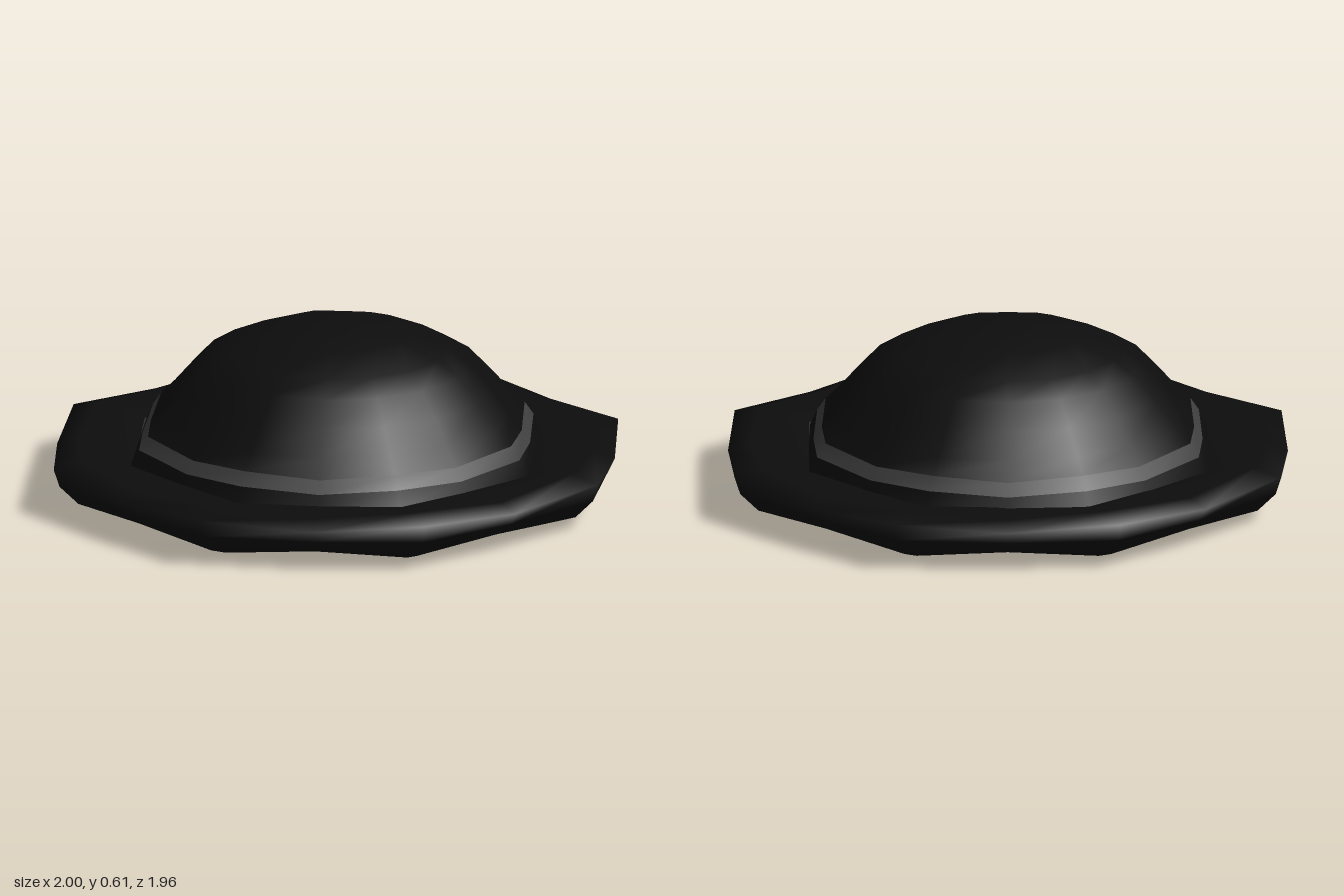
import * as THREE from 'three';

const SIDES = 16;
const felt = new THREE.MeshStandardMaterial({ color: 0x0d0d0d, side: THREE.DoubleSide });
felt.name = 'black felt';
const ribbon = new THREE.MeshStandardMaterial({ color: 0x404040, side: THREE.DoubleSide });
ribbon.name = 'grey ribbon';

// Skin rings of [corner radius, corner y, middle radius, middle y]:
// odd spokes are the eight corners, even spokes the middles between them.
function ringSkin(name, rings, material, zScale = 1, zShift = 0) {
  const pos = [], index = [];
  rings.forEach(([rc, yc, rm, ym], i) => {
    for (let j = 0; j < SIDES; j++) {
      const a = (j / SIDES) * Math.PI * 2;
      const r = j % 2 ? rc : rm;
      pos.push(r * Math.sin(a), j % 2 ? yc : ym, r * Math.cos(a) * zScale + zShift);
      if (i === rings.length - 1) continue;
      const k = (j + 1) % SIDES, lo = i * SIDES, hi = lo + SIDES;
      index.push(lo + j, lo + k, hi + k, lo + j, hi + k, hi + j);
    }
  });
  const geo = new THREE.BufferGeometry();
  geo.setAttribute('position', new THREE.Float32BufferAttribute(pos, 3));
  geo.setIndex(index);
  geo.computeVertexNormals();
  const mesh = new THREE.Mesh(geo, material);
  mesh.name = name;
  return mesh;
}

export function createModel() {
  const hat = new THREE.Group();
  hat.name = 'hat';

  // Thick rolled brim, from the inner opening under and around to the crown
  hat.add(ringSkin('brim', [
    [0.74, 0.17, 0.69, 0.165],
    [0.77, 0.06, 0.75, 0.08],
    [0.85, 0.0, 0.87, 0.04],
    [0.965, 0.04, 0.92, 0.06],
    [1.035, 0.11, 0.975, 0.105],
    [1.057, 0.175, 1.0, 0.15],
    [0.955, 0.2, 0.92, 0.175],
    [0.77, 0.165, 0.71, 0.16],
  ], felt, 0.98));

  // Foot of the crown, ribbon band and dome share their border rings
  const bandLow = [0.738, 0.218, 0.695, 0.198];
  const bandHigh = [0.705, 0.266, 0.665, 0.243];
  hat.add(ringSkin('crownFoot', [[0.765, 0.16, 0.71, 0.155], bandLow], felt, 1, -0.012));
  hat.add(ringSkin('band', [bandLow, bandHigh], ribbon, 1, -0.012));
  hat.add(ringSkin('crown', [
    bandHigh,
    [0.65, 0.32, 0.615, 0.31],
    [0.575, 0.405, 0.555, 0.4],
    [0.495, 0.49, 0.48, 0.485],
    [0.41, 0.542, 0.4, 0.54],
    [0.26, 0.595, 0.25, 0.593],
    [0.09, 0.613, 0.09, 0.613],
    [0, 0.614, 0, 0.614],
  ], felt, 1, -0.012));
  return hat;
}
